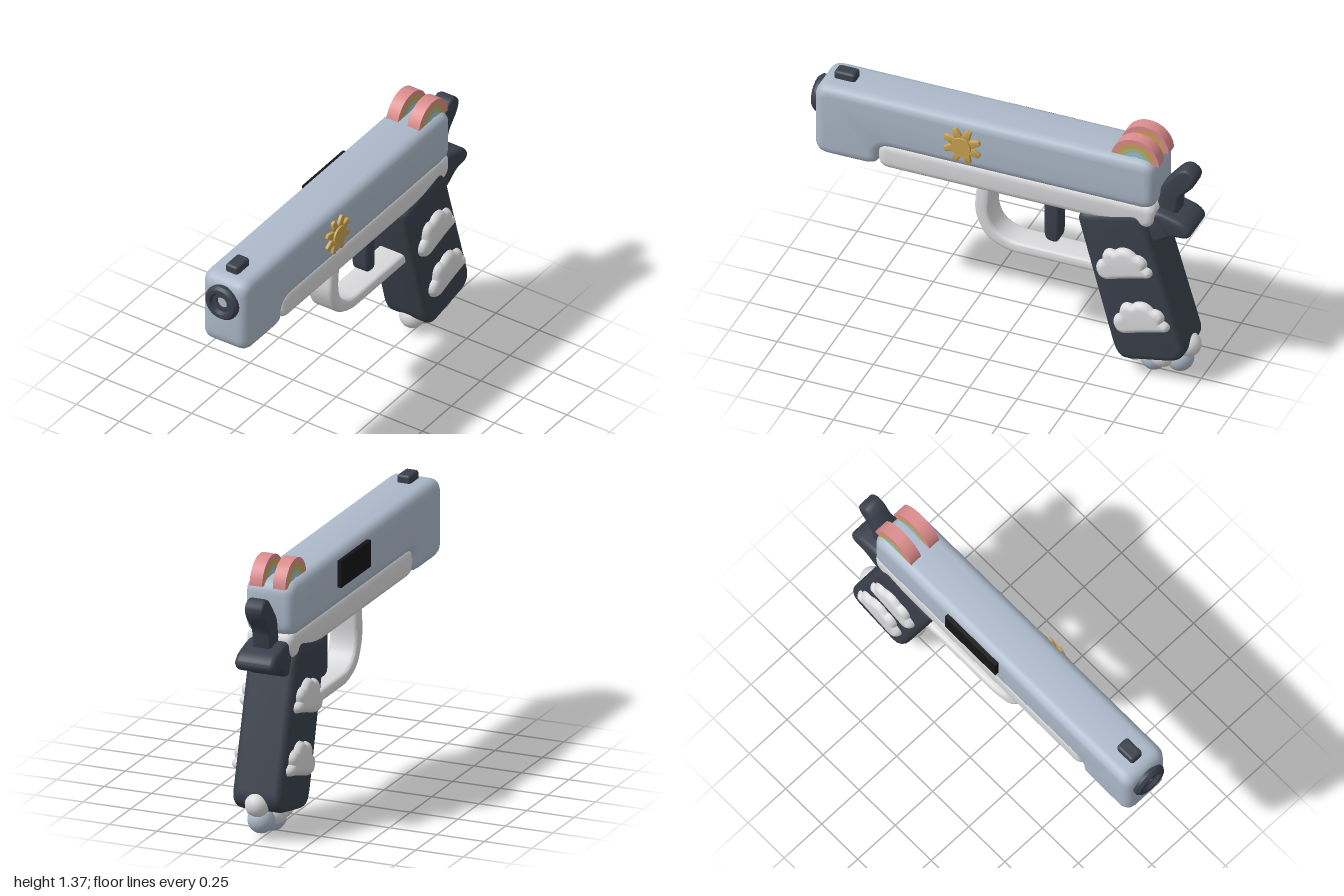
import * as THREE from 'three';
import { toCreasedNormals } from 'three/addons/utils/BufferGeometryUtils.js';
import { RoundedBoxGeometry } from 'three/addons/geometries/RoundedBoxGeometry.js';

const material = (name, color) => {
  const m = new THREE.MeshStandardMaterial({ color });
  m.name = name;
  return m;
};

// Closed outline with softened corners
function roundedShape(points, radius) {
  const p = points.map(([a, b]) => new THREE.Vector2(a, b));
  const shape = new THREE.Shape();
  p.forEach((c, i) => {
    const prev = p[(i + p.length - 1) % p.length];
    const next = p[(i + 1) % p.length];
    const cut = (q) => c.clone().lerp(q, Math.min(0.48, radius / c.distanceTo(q)));
    const a = cut(prev), b = cut(next);
    if (i === 0) shape.moveTo(a.x, a.y); else shape.lineTo(a.x, a.y);
    shape.quadraticCurveTo(c.x, c.y, b.x, b.y);
  });
  shape.closePath();
  return shape;
}

// Side profile in (z, y), extruded symmetrically across x with soft edges
function sideExtrude(shape, halfWidth, bevel, thickness = bevel) {
  const depth = 2 * (halfWidth - thickness);
  const geo = new THREE.ExtrudeGeometry(shape, {
    depth, curveSegments: 6, bevelEnabled: bevel > 0, bevelSize: bevel,
    bevelOffset: -bevel, bevelThickness: thickness, bevelSegments: 4,
  });
  geo.translate(0, 0, -depth / 2);
  geo.rotateY(-Math.PI / 2);
  return toCreasedNormals(geo, 0.7);
}

export function createModel() {
  const group = new THREE.Group();
  const blue = material('pale blue', 0xacb9c9);
  const dark = material('charcoal', 0x3a404c);
  const white = material('soft white', 0xdadadc);
  const gold = material('gold', 0xc9a352);
  const pink = material('pink', 0xdb8c8c);
  const green = material('sage green', 0xa3b88c);
  const sky = material('sky blue', 0x98bfd3);
  const black = material('black', 0x151515);

  const add = (name, geo, mat, x = 0, y = 0, z = 0) => {
    const mesh = new THREE.Mesh(geo, mat);
    mesh.name = name;
    mesh.position.set(x, y, z);
    group.add(mesh);
    return mesh;
  };
  const profile = (name, points, radius, halfWidth, bevel, mat) =>
    add(name, sideExtrude(roundedShape(points, radius), halfWidth, bevel), mat);

  // Upper body and lower rail
  profile('slide', [[0.97, 1.28], [0.97, 0.88], [0.635, 0.88], [0.635, 1.0],
    [-0.805, 1.0], [-0.805, 1.28]], 0.075, 0.13, 0.05, blue);
  profile('rail', [[0.64, 0.88], [0.64, 1.03], [-0.805, 1.03], [-0.805, 0.92],
    [-0.75, 0.88]], 0.06, 0.125, 0.04, white);

  // Grip, trigger and guard
  profile('grip', [[-0.395, 0.89], [-0.72, 0.975], [-0.765, 0.9], [-0.965, 0.21],
    [-0.92, 0.15], [-0.64, 0.095], [-0.595, 0.14]], 0.05, 0.13, 0.035, dark);
  profile('triggerGuard', [[0.142, 0.9], [0.158, 0.72], [0.1, 0.585], [-0.02, 0.53],
    [-0.6, 0.53], [-0.6, 0.592], [-0.03, 0.592], [0.05, 0.635], [0.083, 0.72],
    [0.067, 0.9]], 0.06, 0.075, 0.02, white);
  profile('trigger', [[-0.197, 0.92], [-0.197, 0.66], [-0.21, 0.63], [-0.265, 0.625],
    [-0.275, 0.66], [-0.275, 0.92]], 0.025, 0.045, 0.015, dark);

  // Rear parts
  profile('hammer', [[-0.78, 0.96], [-0.805, 1.11], [-0.9, 1.225], [-0.945, 1.24],
    [-0.995, 1.2], [-0.975, 1.14], [-0.9, 1.06], [-0.89, 0.94]], 0.03, 0.05, 0.018, dark);
  profile('backstrapTail', [[-0.74, 0.92], [-0.785, 0.99], [-0.84, 0.985], [-0.95, 0.955],
    [-0.992, 0.91], [-0.965, 0.865], [-0.89, 0.865], [-0.79, 0.795]], 0.035, 0.105, 0.025, dark);

  // Hollow muzzle ring
  const ring = new THREE.LatheGeometry([[0.093, 0.93], [0.093, 0.985], [0.08, 1.0],
    [0.06, 1.0], [0.05, 0.982], [0.03, 0.982], [0.03, 0.95]]
    .map(([r, h]) => new THREE.Vector2(r, h)), 28);
  ring.rotateX(Math.PI / 2);
  add('muzzle', toCreasedNormals(ring, 0.6), dark, 0, 1.15, 0);

  add('frontSight', new RoundedBoxGeometry(0.072, 0.07, 0.11, 3, 0.015), dark, 0, 1.285, 0.845);
  add('sidePlate', new THREE.BoxGeometry(0.03, 0.135, 0.35), black, -0.135, 1.172, -0.105);

  // Pair of rainbow rear sights, built from half rings
  const bands = [['Pink', 0.125, 0.1, pink], ['Gold', 0.1, 0.077, gold],
    ['Green', 0.077, 0.055, green], ['Blue', 0.055, 0.03, sky]];
  for (const side of [-1, 1]) {
    for (const [label, outer, inner, mat] of bands) {
      const arch = new THREE.Shape();
      arch.absarc(0, 0, outer, 0, Math.PI, false);
      arch.absarc(0, 0, inner, Math.PI, 0, true);
      const geo = new THREE.ExtrudeGeometry(arch, { depth: 0.066, bevelEnabled: false, curveSegments: 20 });
      geo.translate(0, 0, -0.033);
      geo.rotateY(-Math.PI / 2);
      add('rainbow' + label, toCreasedNormals(geo, 0.5), mat, side * 0.061, 1.253, -0.693);
    }
  }

  // Sun badge on the left side
  const disc = new THREE.CylinderGeometry(0.05, 0.055, 0.035, 24);
  disc.rotateZ(-Math.PI / 2);
  add('sunDisc', toCreasedNormals(disc, 0.6), gold, 0.138, 1.138, 0.19);
  const ray = sideExtrude(roundedShape([[-0.024, 0.04], [0.024, 0.04], [0.013, 0.101],
    [-0.013, 0.101]], 0.01), 0.012, 0.006);
  for (let i = 0; i < 8; i++) {
    add('sunRay', ray, gold, 0.134, 1.138, 0.19).rotation.x = (i + 0.5) * Math.PI / 4;
  }

  // Puffy clouds standing out on both sides of the grip
  const cloud = new THREE.Shape();
  [[[-0.51, 0.595], [-0.495, 0.65], [-0.54, 0.67]], [[-0.535, 0.735], [-0.58, 0.75], [-0.605, 0.738]],
    [[-0.635, 0.775], [-0.69, 0.77], [-0.715, 0.738]], [[-0.755, 0.745], [-0.785, 0.71], [-0.77, 0.68]],
    [[-0.81, 0.675], [-0.81, 0.63], [-0.78, 0.62]], [[-0.7, 0.605], [-0.62, 0.575], [-0.575, 0.562]],
    [[-0.54, 0.558], [-0.52, 0.575], [-0.513, 0.6]]].forEach(([a, b, c], i) => {
    if (i === 0) cloud.moveTo(-0.513, 0.6);
    cloud.bezierCurveTo(...a, ...b, ...c);
  });
  const cloudGeo = sideExtrude(cloud, 0.165, 0.03, 0.04);
  add('upperClouds', cloudGeo, white);
  add('lowerClouds', cloudGeo, white, 0, -0.293, -0.09);

  // Cluster of puffs under the grip
  const puffs = [[0, 0.1, -0.655, 0.065, white], [0, 0.072, -0.755, 0.068, blue],
    [0, 0.1, -0.89, 0.068, blue], [0, 0.19, -0.935, 0.062, white],
    [0.04, 0.125, -0.815, 0.065, white], [-0.04, 0.125, -0.815, 0.065, white]];
  for (const [x, y, z, r, mat] of puffs) {
    add('puff', new THREE.SphereGeometry(r, 20, 14), mat, x, y, z);
  }
  return group;
}
